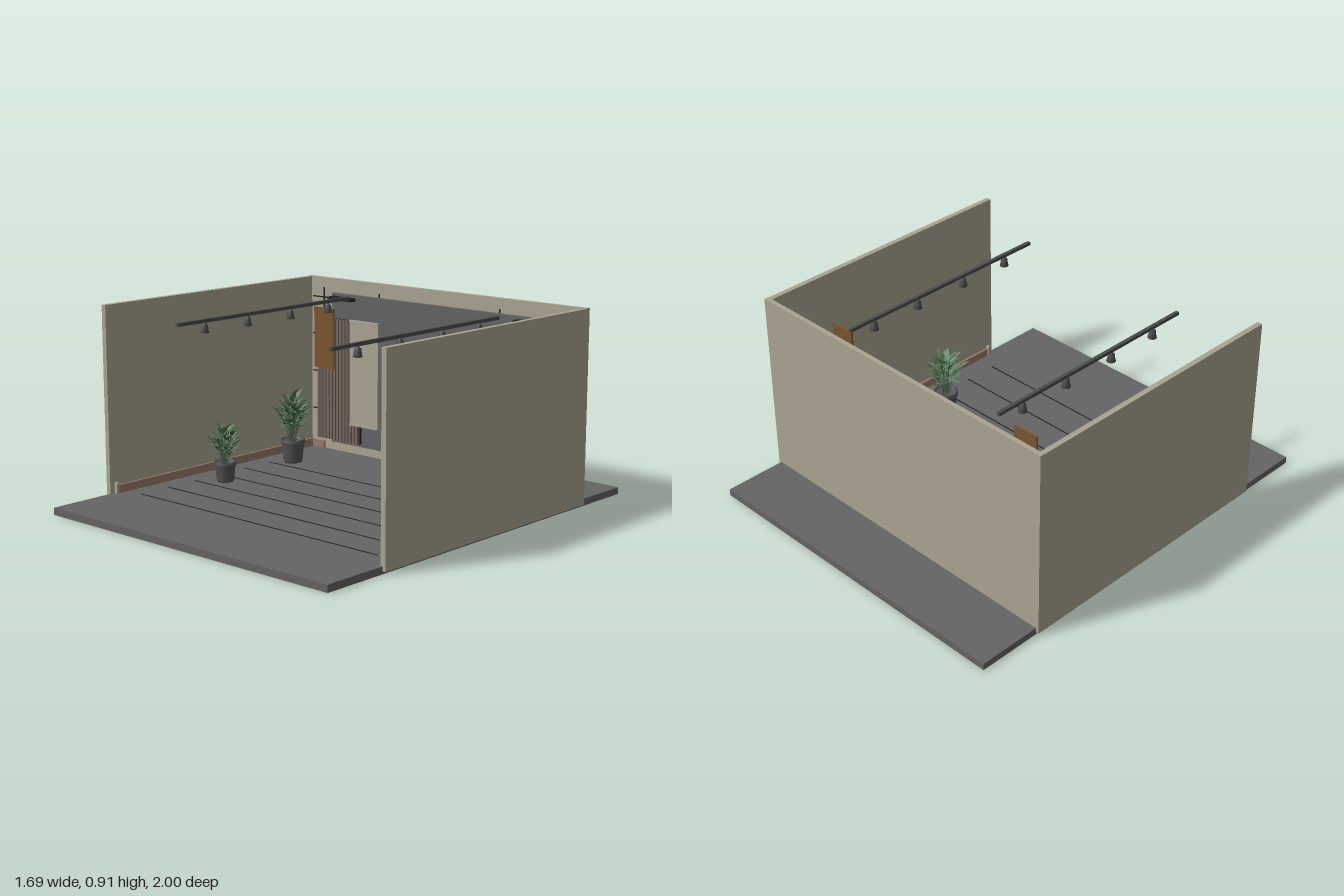
import * as THREE from 'three';
import { mergeGeometries } from 'three/addons/utils/BufferGeometryUtils.js';

const mat = (name, color, side = THREE.FrontSide) => {
  const m = new THREE.MeshStandardMaterial({ color, side });
  m.name = name;
  return m;
};

export function createModel() {
  const M = {
    wall: mat('beige plaster', 0xaaa491),
    floor: mat('grey floor', 0x646464),
    black: mat('black trim', 0x242424),
    slat: mat('walnut slats', 0x78675e),
    skirting: mat('rose wood', 0x987a6c),
    sign: mat('amber board', 0x7a5630),
    metal: mat('dark metal', 0x4c4c4c),
    pot: mat('pot grey', 0x555555),
    leaf: mat('leaf green', 0x5c7f5c, THREE.DoubleSide),
    darkLeaf: mat('deep leaf green', 0x466348, THREE.DoubleSide),
  };
  const model = new THREE.Group();
  model.name = 'showroom';

  const add = (name, geometry, material, parent = model) => {
    const mesh = new THREE.Mesh(geometry, material);
    mesh.name = name;
    parent.add(mesh);
    return mesh;
  };
  // Box geometry given by its limits on each axis
  const span = (x0, x1, y0, y1, z0, z1) =>
    new THREE.BoxGeometry(x1 - x0, y1 - y0, z1 - z0)
      .translate((x0 + x1) / 2, (y0 + y1) / 2, (z0 + z1) / 2);
  const mirrorSpan = (s, a, b, ...rest) => span(Math.min(s * a, s * b), Math.max(s * a, s * b), ...rest);

  // Floor slab and its inlaid joint lines
  const top = 0.033;
  add('floor', span(-0.83, 0.83, 0, top, -1, 1), M.floor);
  const joints = [-0.255, -0.085, 0.08, 0.245, 0.413, 0.58].map(z =>
    span(-0.72, 0.717, top - 0.002, top + 0.002, z - 0.003, z + 0.003));
  add('floorJoints', mergeGeometries(joints), M.black);

  // Walls
  add('backWall', span(-0.845, 0.845, 0.012, 0.912, -0.697, -0.675), M.wall);
  for (const s of [-1, 1]) {
    add('sideWall', mirrorSpan(s, 0.82, 0.845, 0.012, 0.91, -0.675, 0.68), M.wall);
    add('sideSkirting', mirrorSpan(s, 0.808, 0.82, top, 0.072, -0.675, 0.65), M.skirting);
    add('skirtingEnd', mirrorSpan(s, 0.803, 0.82, top, 0.085, 0.64, 0.655), M.wall);
    add('backSkirting', mirrorSpan(s, 0.73, 0.808, top, 0.07, -0.675, -0.665), M.skirting);
  }

  // Thin dark grid on the back wall
  const grid = [];
  for (const y of [0.235, 0.43, 0.622, 0.812]) grid.push(span(-0.81, 0.81, y - 0.003, y + 0.003, -0.676, -0.67));
  for (const x of [-0.735, -0.367, 0.367, 0.735]) grid.push(span(x - 0.003, x + 0.003, 0.1, 0.862, -0.676, -0.67));
  add('wallGrid', mergeGeometries(grid), M.black);

  // Central feature panel
  add('featurePanel', span(-0.65, 0.648, 0.085, 0.845, -0.66, -0.637), M.floor);

  for (const s of [-1, 1]) {
    // Slatted screen
    add('slatBacking', mirrorSpan(s, 0.45, 0.72, 0.1, 0.72, -0.637, -0.622), M.black);
    const slats = [];
    for (let i = 0; i < 13; i++) {
      const x = 0.45 + i * 0.0213;
      slats.push(mirrorSpan(s, x, x + 0.0145, 0.105, 0.72, -0.622, -0.604));
    }
    add('slats', mergeGeometries(slats), M.slat);

    // Pale display panel with slim rails
    add('displayPanel', mirrorSpan(s, 0.305, 0.487, 0.2, 0.73, -0.603, -0.592), M.wall);
    for (const y of [0.2, 0.72])
      add('displayRail', mirrorSpan(s, 0.303, 0.489, y, y + 0.01, -0.605, -0.587), M.wall);

    // Hanging board
    add('hangingBoard', mirrorSpan(s, 0.503, 0.63, 0.495, 0.795, -0.496, -0.487), M.sign);

    // Ribbed wall light
    const ribs = [mirrorSpan(s, 0.493, 0.643, 0.816, 0.827, -0.64, -0.598)];
    for (let i = 0; i < 5; i++)
      ribs.push(mirrorSpan(s, 0.496, 0.64, 0.827, 0.832, -0.638 + i * 0.008, -0.634 + i * 0.008));
    add('wallLight', mergeGeometries(ribs), M.black);

    // Ceiling track with four spotlights
    const track = new THREE.Group();
    track.name = 'spotTrack';
    track.position.x = s * 0.458;
    model.add(track);
    add('rail', span(-0.008, 0.008, 0.838, 0.854, -0.54, 0.58), M.metal, track);
    const lampProfile = [[0, 0.84], [0.008, 0.84], [0.008, 0.831], [0.015, 0.827], [0.017, 0.808],
      [0.021, 0.792], [0.017, 0.792], [0, 0.8]].map(p => new THREE.Vector2(...p)).reverse();
    for (const z of [-0.4, -0.14, 0.143, 0.412])
      add('spotlight', new THREE.LatheGeometry(lampProfile, 20), M.metal, track).position.z = z;
  }

  // Potted plants
  let seed = 7;
  const rand = () => (seed = (seed * 16807) % 2147483647) / 2147483647;

  // Pointed leaf, folded along the midrib and drooping towards its tip
  const leafGeometry = (length, width) => {
    const g = new THREE.PlaneGeometry(1, 1, 2, 5);
    const p = g.attributes.position;
    for (let i = 0; i < p.count; i++) {
      const t = p.getY(i) + 0.5;
      const w = width * Math.pow(Math.sin(Math.PI * Math.pow(t, 0.8)), 0.8) || 0;
      const x = p.getX(i) * w;
      p.setXYZ(i, x, Math.abs(x) * 0.35 - length * 0.28 * t * t, t * length);
    }
    g.computeVertexNormals();
    return g;
  };

  const addPlant = (x, z, potR, potH, height, radius, stems) => {
    const plant = new THREE.Group();
    plant.name = 'pottedPlant';
    plant.position.set(x, top, z);
    model.add(plant);
    const profile = [[0, 0], [0.72, 0], [0.8, 0.08], [0.93, 0.8], [1, 0.82], [1, 1], [0.88, 1], [0.86, 0.88], [0, 0.88]]
      .map(([r, y]) => new THREE.Vector2(r * potR, y * potH));
    add('pot', new THREE.LatheGeometry(profile, 28), M.pot, plant);

    const leaves = [[], []], stalks = [];
    const up = new THREE.Object3D();
    for (let i = 0; i < stems; i++) {
      const a = i * 2.4, reach = Math.sqrt((i + 0.3) / stems);
      const r = radius * 0.68 * reach;
      const tip = height - (height - potH) * (0.12 + 0.36 * reach * reach + 0.12 * rand());
      const dir = new THREE.Vector3(Math.cos(a), 0, Math.sin(a));
      const at = (d, y) => dir.clone().multiplyScalar(d).setY(y);
      const curve = new THREE.QuadraticBezierCurve3(
        at(potR * 0.3 * reach, potH * 0.85), at(r * 0.45, (potH + tip) * 0.55), at(r, tip));
      stalks.push(new THREE.TubeGeometry(curve, 5, 0.0022, 4));
      // Leaves alternate along each stalk, with one at its tip
      [0.35, 0.5, 0.64, 0.78, 0.9, 1].forEach((t, k) => {
        const len = radius * (0.44 + 0.16 * rand());
        const yaw = -a + Math.PI / 2 + (t < 1 ? (k % 2 ? 1 : -1) * (0.6 + rand() * 0.6) : 0);
        up.rotation.set(-(0.35 + 0.6 * t * (1.1 - 0.5 * reach) + rand() * 0.25), yaw, 0, 'YXZ');
        up.position.copy(curve.getPoint(t));
        up.updateMatrix();
        leaves[(i + k) % 3 === 0 ? 1 : 0].push(leafGeometry(len, len * 0.4).applyMatrix4(up.matrix));
      });
    }
    add('stalks', mergeGeometries(stalks), M.darkLeaf, plant);
    add('leaves', mergeGeometries(leaves[0]), M.leaf, plant);
    add('shadedLeaves', mergeGeometries(leaves[1]), M.darkLeaf, plant);
  };
  addPlant(-0.645, -0.345, 0.06, 0.115, 0.37, 0.11, 17);
  addPlant(0.613, -0.425, 0.078, 0.125, 0.42, 0.13, 18);
  addPlant(-0.612, 0.15, 0.052, 0.095, 0.29, 0.092, 15);
  addPlant(0.605, 0.155, 0.058, 0.105, 0.33, 0.105, 16);

  return model;
}
